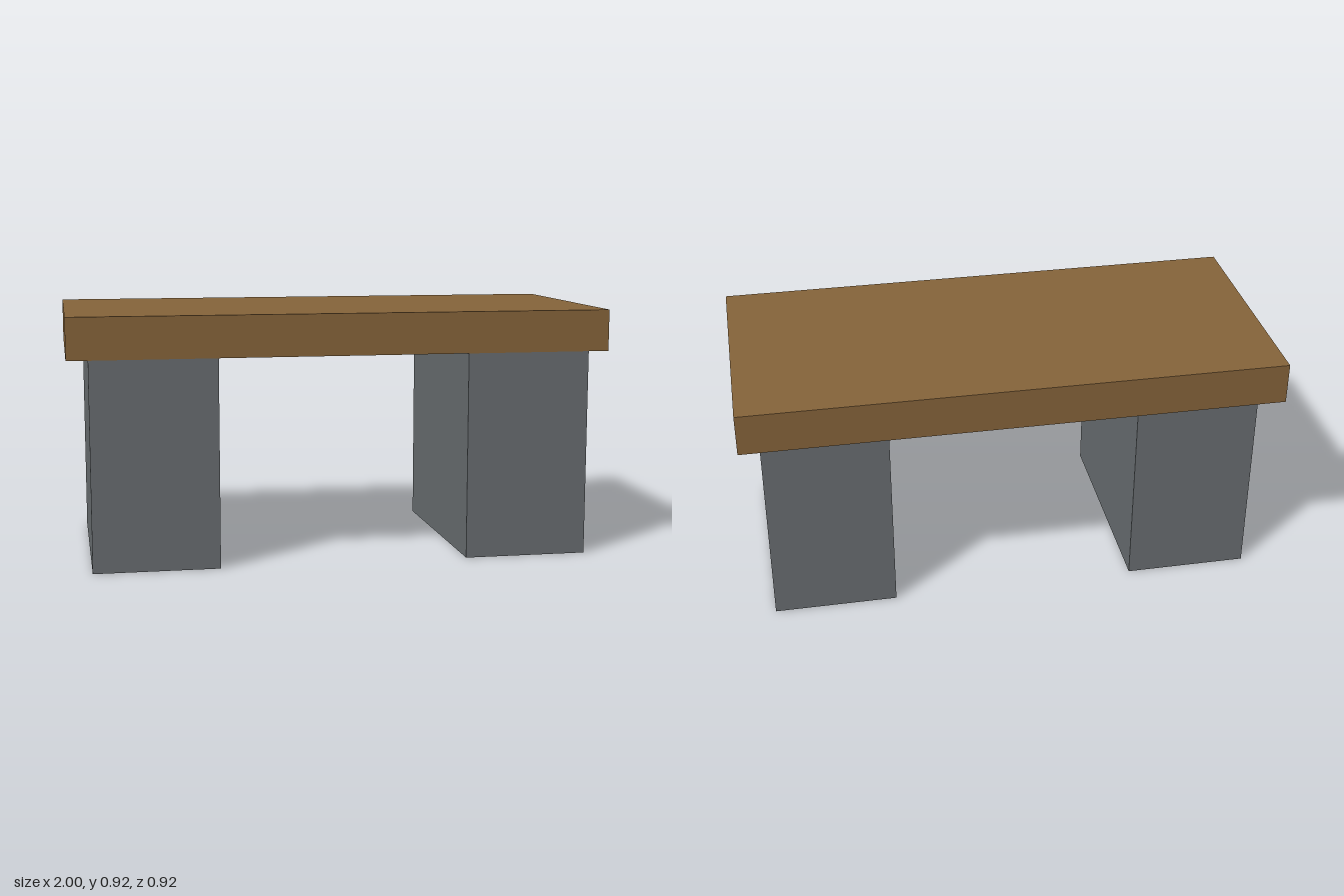
import * as THREE from 'three';

// The desk sits on a 26 x 12 x 12 module; one module is U
const U = 2 / 26;

// Box given by its min and max corners, in modules
function box(min, max) {
  const [w, h, d] = max.map((v, i) => (v - min[i]) * U);
  const [x, y, z] = max.map((v, i) => ((v + min[i]) / 2) * U);
  return new THREE.BoxGeometry(w, h, d).translate(x, y, z);
}

// Keep only the four upright walls: drop the top and bottom faces
function openTopAndBottom(geometry) {
  const index = Array.from(geometry.index.array);
  index.splice(12, 12);
  geometry.setIndex(index);
  geometry.clearGroups();
  return geometry;
}

export function createModel() {
  const wood = new THREE.MeshStandardMaterial({ color: 0x85633a });
  wood.name = 'brown wood';
  const grey = new THREE.MeshStandardMaterial({ color: 0x676c6f, side: THREE.DoubleSide });
  grey.name = 'slate grey';

  const model = new THREE.Group();
  model.name = 'desk';

  // Thick slab on top
  const top = new THREE.Mesh(box([-13, 10, -6], [13, 12, 6]), wood);
  top.name = 'tableTop';
  model.add(top);

  // Hollow pedestals, flush with the front edge and set in at the back
  for (const [name, x] of [['leftPedestal', 6], ['rightPedestal', -12]]) {
    const walls = openTopAndBottom(box([x, 0, -5], [x + 6, 10, 6]));
    const pedestal = new THREE.Mesh(walls, grey);
    pedestal.name = name;
    model.add(pedestal);
  }

  return model;
}
